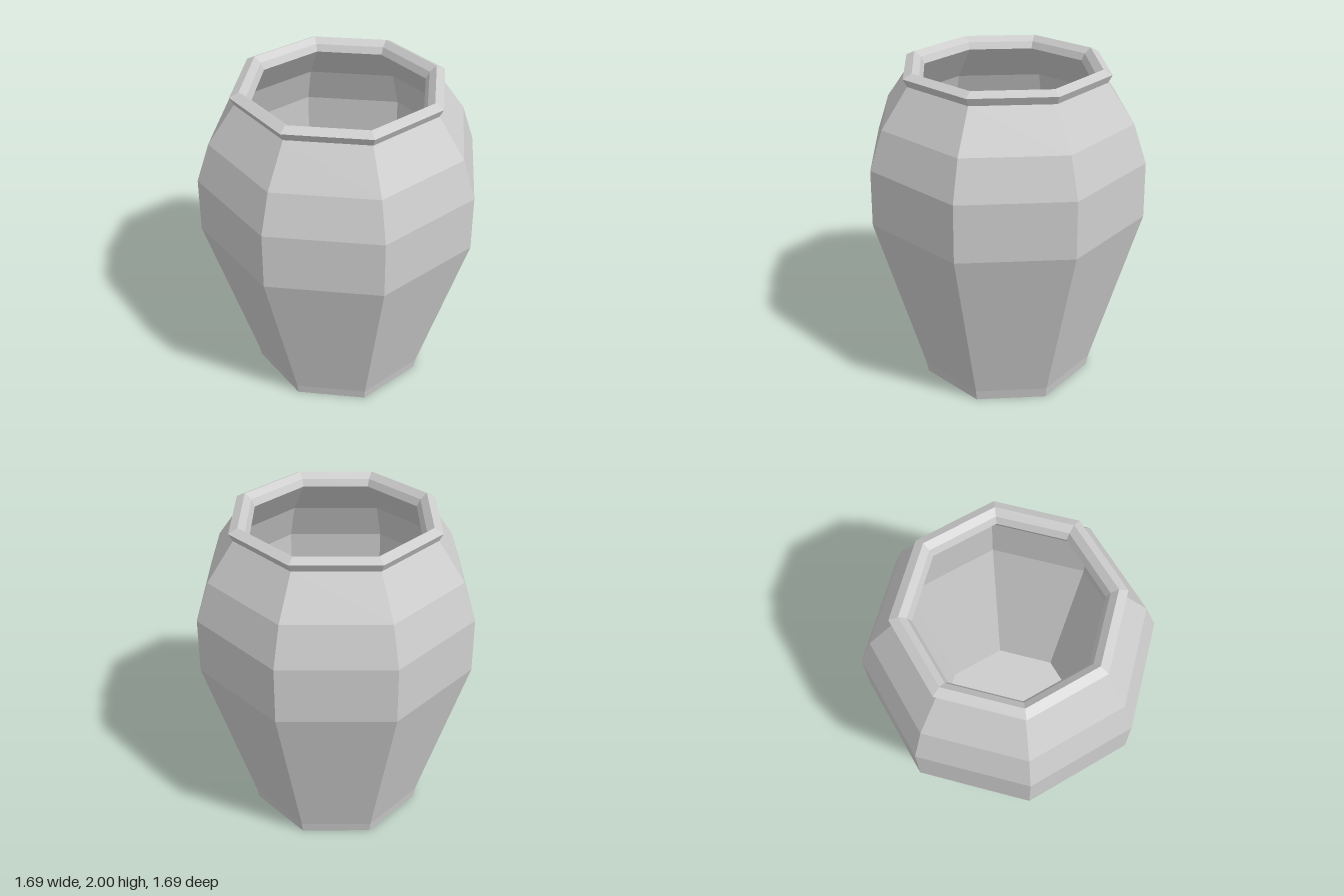
import * as THREE from 'three';

const SIDES = 8;

// Eight-sided lathe from [radius, height] pairs; corners lie on the x and z axes.
function turned(name, profile, material) {
  const points = profile.map(([r, y]) => new THREE.Vector2(r, y));
  const mesh = new THREE.Mesh(new THREE.LatheGeometry(points, SIDES), material);
  mesh.name = name;
  return mesh;
}

export function createModel() {
  const group = new THREE.Group();
  group.name = 'pot';
  const clay = new THREE.MeshStandardMaterial({ color: 0xcccccc, flatShading: true });

  // Base and outer wall, from the foot up to the neck
  group.add(turned('outerWall', [
    [0, 0], [0.56, 0], [0.57, 0.07], [0.845, 1.15],
    [0.832, 1.485], [0.75, 1.71], [0.59, 1.93],
  ], clay));

  // Flared lip around the mouth
  group.add(turned('rim', [
    [0.59, 1.93], [0.612, 1.975], [0.56, 2], [0.52, 1.97], [0.5, 1.93],
  ], clay));

  // Hollow inside, from the mouth down to the floor
  group.add(turned('innerWall', [
    [0.5, 1.93], [0.68, 1.71], [0.765, 1.485], [0.775, 1.15], [0.51, 0.07], [0, 0.07],
  ], clay));

  return group;
}
